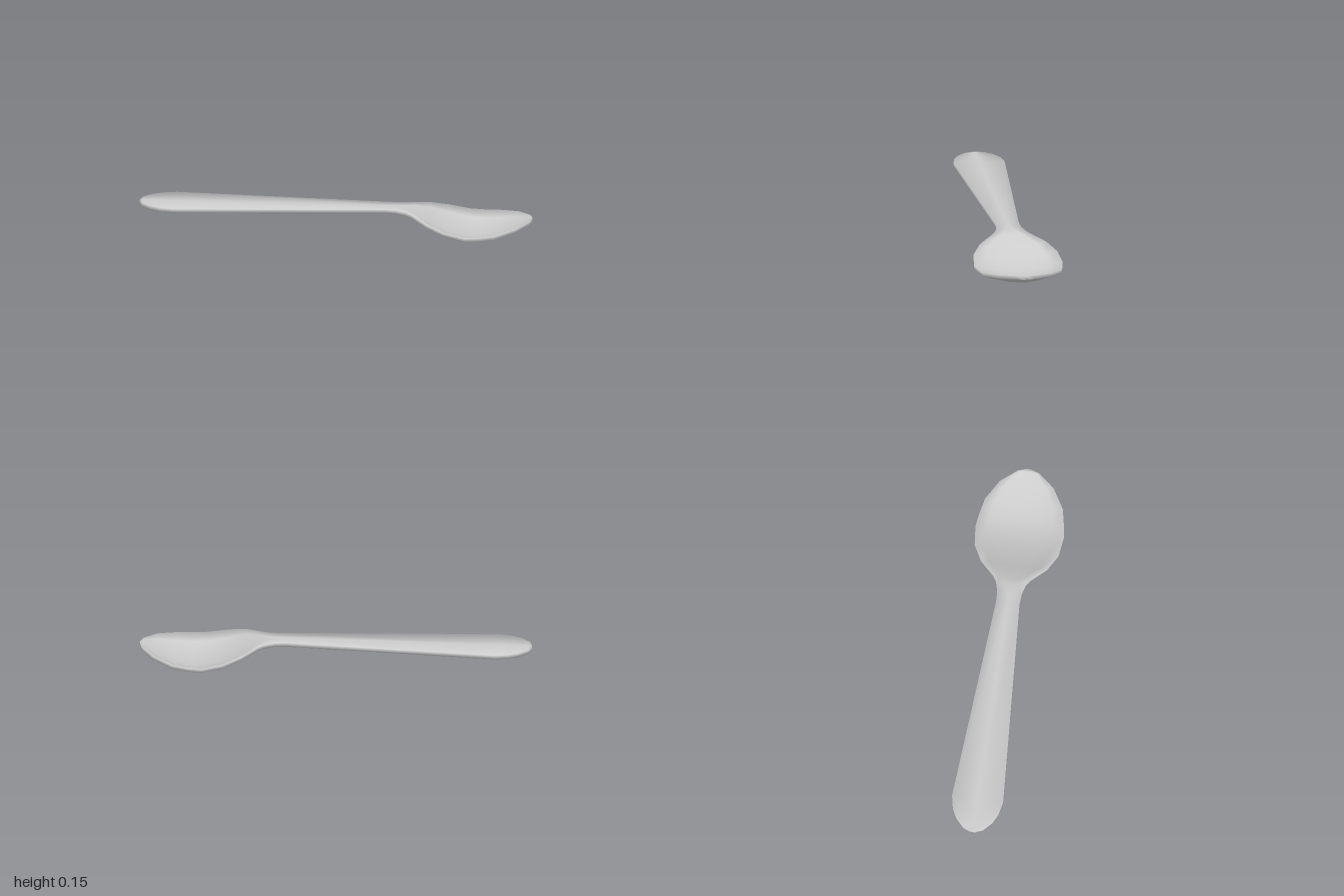
import * as THREE from 'three';

// Stations along the spoon: [x, half width, rim top y, rim bottom y, centre top y, centre bottom y]
const stations = [
  [-1, 0.01, 0.152, 0.13, 0.152, 0.13],
  [-0.985, 0.05, 0.152, 0.13, 0.152, 0.13],
  [-0.94, 0.092, 0.152, 0.13, 0.152, 0.13],
  [-0.89, 0.117, 0.152, 0.13, 0.152, 0.13],
  [-0.82, 0.131, 0.152, 0.13, 0.152, 0.13],
  [0.25, 0.06, 0.152, 0.13, 0.152, 0.13],
  [0.31, 0.063, 0.150, 0.128, 0.150, 0.128],
  [0.36, 0.077, 0.145, 0.123, 0.144, 0.121],
  [0.39, 0.095, 0.14, 0.118, 0.136, 0.113],
  [0.47, 0.17, 0.116, 0.094, 0.098, 0.076],
  [0.56, 0.215, 0.09, 0.068, 0.056, 0.034],
  [0.67, 0.227, 0.067, 0.045, 0.026, 0.004],
  [0.74, 0.217, 0.067, 0.045, 0.022, 0],
  [0.82, 0.2, 0.073, 0.05, 0.033, 0.011],
  [0.92, 0.138, 0.09, 0.067, 0.064, 0.042],
  [0.985, 0.055, 0.102, 0.08, 0.096, 0.074],
  [1, 0.012, 0.103, 0.081, 0.102, 0.08],
];

// Closed cross-section: across the top from -z to +z, then back underneath
function section([x, w, rimTop, rimBottom, midTop, midBottom]) {
  const k = THREE.MathUtils.smoothstep(x, 0.25, 0.47);
  const inner = THREE.MathUtils.lerp(0.02, 0.38, k);
  const outer = THREE.MathUtils.lerp(0.04, 0.75, k);
  const across = [-1, -outer, -inner, 0, inner, outer, 1];
  const depthTop = [0, 0.6, 0.93, 1, 0.93, 0.6, 0];
  const depthBottom = [0, 0.32, 0.79, 1, 0.79, 0.32, 0];
  const top = across.map((t, i) =>
    new THREE.Vector3(x, THREE.MathUtils.lerp(rimTop, midTop, depthTop[i]), t * w));
  const bottom = across.map((t, i) =>
    new THREE.Vector3(x, THREE.MathUtils.lerp(rimBottom, midBottom, depthBottom[i]), t * w));
  return [...top, ...bottom.reverse()];
}

function spoonGeometry() {
  const rings = stations.map(section);
  const n = rings[0].length;
  const points = rings.flat();
  const normals = points.map(() => new THREE.Vector3());
  const index = [];

  // Every quad adds one equal share to its corners' soft normals
  const quad = (a, b, c, d) => {
    index.push(a, b, c, a, c, d);
    const normal = points[c].clone().sub(points[a])
      .cross(points[d].clone().sub(points[b])).normalize();
    [a, b, c, d].forEach((i) => normals[i].add(normal));
  };

  for (let i = 0; i < rings.length - 1; i++) {
    for (let j = 0; j < n; j++) {
      const k = (j + 1) % n;
      quad(i * n + j, i * n + k, (i + 1) * n + k, (i + 1) * n + j);
    }
  }
  // Close the two tips, pairing top points with those beneath
  const last = (rings.length - 1) * n;
  for (let j = 0; j < n / 2 - 1; j++) {
    quad(j, n - 1 - j, n - 2 - j, j + 1);
    quad(last + j, last + j + 1, last + n - 2 - j, last + n - 1 - j);
  }

  const geometry = new THREE.BufferGeometry();
  geometry.setFromPoints(points);
  geometry.setAttribute('normal', new THREE.Float32BufferAttribute(
    normals.flatMap((v) => v.normalize().toArray()), 3));
  geometry.setIndex(index);
  return geometry;
}

export function createModel() {
  const metal = new THREE.MeshStandardMaterial({ color: 0xcccccc });
  metal.name = 'pale grey metal';

  // Handle and bowl are one continuous surface
  const spoon = new THREE.Mesh(spoonGeometry(), metal);
  spoon.name = 'handleAndBowl';

  const group = new THREE.Group();
  group.name = 'spoon';
  group.add(spoon);
  return group;
}
